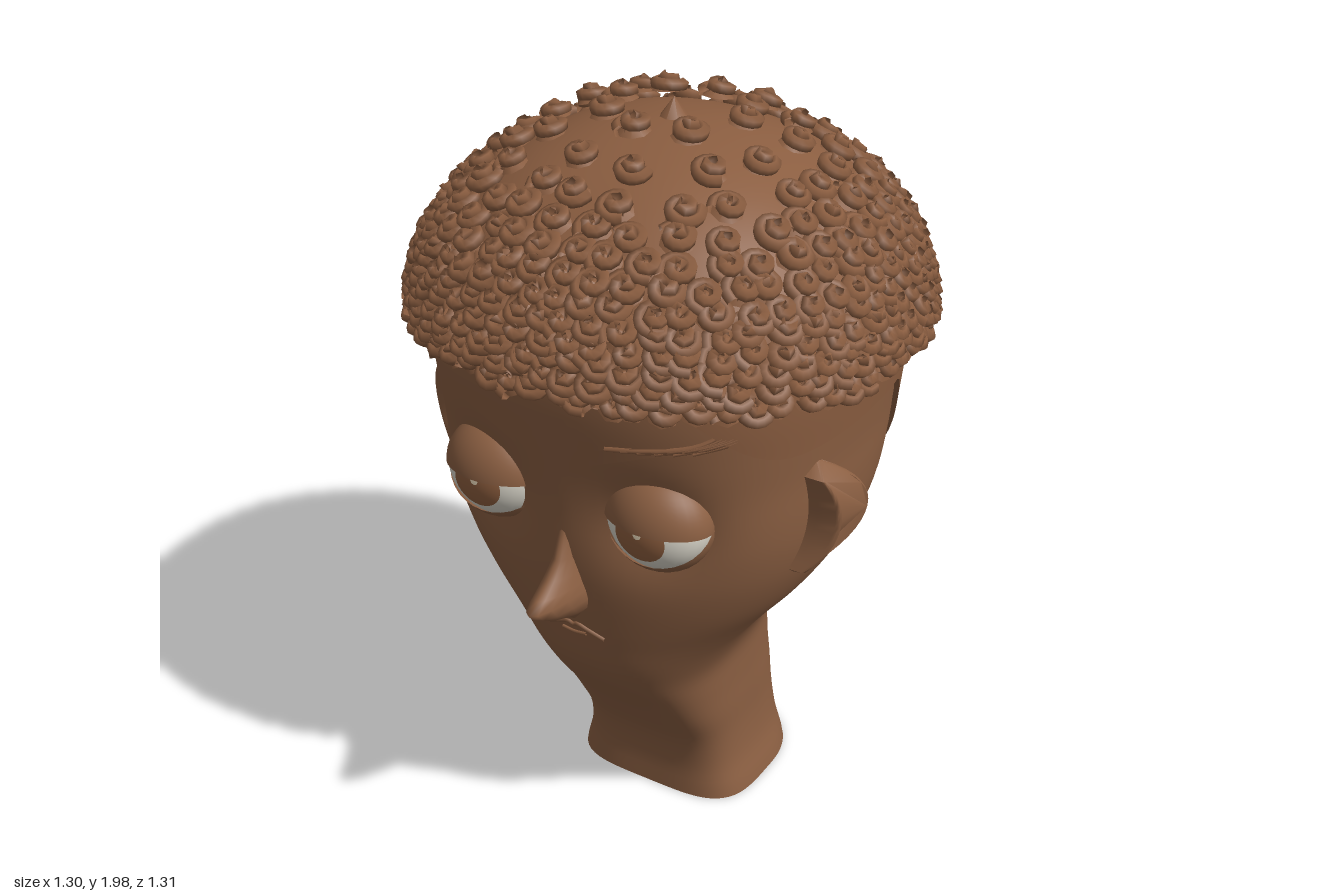
import * as THREE from 'three';
import { mergeGeometries, toCreasedNormals } from 'three/addons/utils/BufferGeometryUtils.js';

const mat = (name, color, side = THREE.FrontSide) => {
  const m = new THREE.MeshStandardMaterial({ color, side });
  m.name = name;
  return m;
};

// Head sections every 0.1 in height: half width, front z, back z
const SECTIONS = [
  [0.265, 0.135, -0.345], [0.24, 0.135, -0.33], [0.23, 0.16, -0.32], [0.23, 0.22, -0.315],
  [0.23, 0.29, -0.31], [0.238, 0.37, -0.315], [0.285, 0.43, -0.335], [0.358, 0.46, -0.36],
  [0.437, 0.48, -0.4], [0.49, 0.495, -0.45], [0.52, 0.505, -0.5], [0.533, 0.512, -0.53],
  [0.538, 0.52, -0.552], [0.547, 0.53, -0.565], [0.555, 0.54, -0.575], [0.56, 0.54, -0.58],
];
const EYE_X = 0.233, EYE_Y = 1.115;
const TAU = Math.PI * 2;
const { smoothstep, lerp, degToRad } = THREE.MathUtils;
const round = (a, p) => Math.pow(Math.abs(Math.cos(a)) ** p + Math.abs(Math.sin(a)) ** p, -1 / p);
// Squareness of the front half: boxy throat, softer jaw, fuller temples
const frontPower = (y) => lerp(4, 2.4, smoothstep(y, 0.15, 0.7)) + 0.35 * smoothstep(y, 0.75, 1.1);

// Smoothly interpolated section at height y
function section(y) {
  const n = SECTIONS.length - 1;
  const t = Math.min(Math.max(y * 10, 0), n), i = Math.min(Math.floor(t), n - 1), f = t - i;
  const at = (k) => SECTIONS[Math.min(Math.max(k, 0), n)];
  const [w, zf, zb] = [0, 1, 2].map((c) => {
    const [a, b, d, e] = [at(i - 1)[c], at(i)[c], at(i + 1)[c], at(i + 2)[c]];
    return b + 0.5 * f * (d - a + f * (2 * a - 5 * b + 4 * d - e + f * (3 * (b - d) + e - a)));
  });
  return { w, d: (zf - zb) / 2, zc: (zf + zb) / 2 };
}
const socket = (x, y) => 0.05 * Math.exp(-((Math.abs(x) - EYE_X) ** 2 + (y - 1.1) ** 2) / 0.016);

function headPoint(a, y, off = 0) {
  const s = section(y);
  const r = round(a, Math.sin(a) > 0 ? frontPower(y) : 2.3);
  const x = (s.w + off) * Math.cos(a) * r;
  let z = s.zc + (s.d + off) * Math.sin(a) * r;
  if (z > 0.2) z -= socket(x, y);
  return [x, y, z];
}
function faceZ(x, y) {
  const s = section(y), p = frontPower(y);
  return s.zc + s.d * Math.pow(Math.max(0, 1 - Math.abs(x / s.w) ** p), 1 / p) - socket(x, y);
}

// Closed loops of points, stacked upward into a surface
function loft(rows, cols, fn) {
  const pos = [], idx = [];
  for (let i = 0; i < rows; i++)
    for (let j = 0; j < cols; j++) pos.push(...fn(i, (j / cols) * TAU));
  for (let i = 0; i < rows - 1; i++)
    for (let j = 0; j < cols; j++) {
      const k = (j + 1) % cols, a = i * cols, b = a + cols;
      idx.push(a + j, b + j, a + k, b + j, b + k, a + k);
    }
  return surface(pos, idx);
}
function surface(pos, idx) {
  const g = new THREE.BufferGeometry();
  g.setAttribute('position', new THREE.Float32BufferAttribute(pos, 3));
  g.setIndex(idx);
  g.computeVertexNormals();
  return g;
}

// Scalp dome under the curls, theta measured from the crown
function domePoint(a, theta, grow = 0) {
  const r = round(a, Math.sin(a) > 0 ? 2.35 : 2.2) * Math.sin(theta);
  const x = (0.6 + grow) * Math.cos(a) * r, z = -0.015 + (0.59 + grow) * Math.sin(a) * r;
  return new THREE.Vector3(x, 1.455 + 0.03 * z + (0.468 + grow) * Math.cos(theta), z);
}

export function createModel() {
  const root = new THREE.Group();
  const skin = mat('brown skin', 0x8b5f42, THREE.DoubleSide);
  const hair = mat('brown hair', 0x8a5d40, THREE.DoubleSide);
  const white = mat('eye white', 0xd8d4c8);
  const brown = mat('iris brown', 0x8f5f3f);
  const glint = mat('eye glint', 0xf0dfc0);
  const add = (name, geo, m, parent = root) => {
    const mesh = new THREE.Mesh(geo, m);
    mesh.name = name;
    parent.add(mesh);
  };

  // Head and neck, with a flat base
  add('headAndNeck', loft(61, 96, (i, a) => headPoint(a, i * 0.025)), skin);
  add('neckBase', loft(2, 96, (i, a) => (i ? headPoint(a, 0) : [0, 0, -0.105])), skin);

  // Slightly raised short hair around the sides and back
  const fadeEdge = (a) => {
    const [x, , z] = headPoint(a, 1.25);
    if (z > 0.25) return lerp(1.46, 1.3, smoothstep(Math.abs(x), 0.27, 0.51));
    return 1.3 - 0.345 * smoothstep(-z, 0.15, 0.43);
  };
  add('shortHair', loft(16, 120, (i, a) => {
    const e = fadeEdge(a);
    return headPoint(a, lerp(e, 1.49, Math.max(0, i - 2) / 13), i === 0 ? -0.004 : 0.013);
  }), hair);

  // Hair dome
  add('hairDome', loft(22, 80, (i, a) => {
    if (i === 0) { const p = domePoint(a, Math.PI / 2); return [p.x * 0.7, p.y, p.z * 0.7]; }
    return domePoint(a, Math.PI / 2 * (1 - (i - 1) / 20)).toArray();
  }), hair);
  add('crownTuft', new THREE.ConeGeometry(0.045, 0.06, 8).translate(0, 1.94, -0.01), hair);

  // Spiral curls in rings over the dome
  const spiral = new THREE.CatmullRomCurve3(Array.from({ length: 15 }, (_, i) => {
    const t = i / 14, r = 0.036 * (1 - t) + 0.003;
    return new THREE.Vector3(Math.cos(t * 11) * r, 0.024 * t, Math.sin(t * 11) * r);
  }));
  const curl = mergeGeometries([
    new THREE.TubeGeometry(spiral, 17, 0.0155, 5),
    new THREE.ConeGeometry(0.04, 0.03, 8, 1, true).translate(0, 0.003, 0),
  ]);
  let seed = 7;
  const rand = () => (seed = (seed * 16807) % 2147483647) / 2147483647;
  const rings = [[15, 8], [28, 12], [38, 19], [46, 28], [53, 38], [59, 44], [65, 50],
    [70, 54], [75, 57], [80, 60], [84.5, 62], [89, 62]];
  const up = new THREE.Vector3(0, 1, 0), curls = [];
  rings.forEach(([deg, count], row) => {
    for (let j = 0; j < count; j++) {
      const a = ((j + (row % 2) / 2 + (rand() - 0.5) * 0.4) / count) * TAU;
      const p = domePoint(a, degToRad(deg + (rand() - 0.5) * 2), [0.034, 0.027][row] ?? 0.012);
      const axis = p.clone().sub(new THREE.Vector3(0, 1.42, 0)).normalize();
      axis.y += 0.8;
      axis.normalize();
      const q = new THREE.Quaternion().setFromUnitVectors(up, axis)
        .multiply(new THREE.Quaternion().setFromAxisAngle(up, rand() * TAU));
      const s = 0.95 + rand() * 0.12;
      curls.push(curl.clone().applyMatrix4(new THREE.Matrix4().compose(p, q, new THREE.Vector3(s, s, s))));
    }
  });
  add('curls', mergeGeometries(curls), hair);

  // Nose: half width and front z at each height, from below upward
  const nose = [[0.765, 0.012, 0.475], [0.79, 0.03, 0.51], [0.82, 0.054, 0.575], [0.85, 0.06, 0.63],
    [0.877, 0.056, 0.655], [0.9, 0.05, 0.62], [0.93, 0.044, 0.575], [0.97, 0.034, 0.535],
    [1.03, 0.026, 0.512], [1.09, 0.02, 0.49]];
  add('nose', loft(nose.length, 20, (i, a) => {
    const [y, w, z] = nose[i], s = Math.sin(a);
    return [w * Math.cos(a), y, 0.46 + (z - 0.46) * (s > 0 ? s ** 1.4 : s * 0.2)];
  }), skin);

  // Thin line following the face
  const faceLine = (name, pts, r, m, lift = 0.002) => add(name, new THREE.TubeGeometry(
    new THREE.CatmullRomCurve3(pts.map(([x, y]) => new THREE.Vector3(x, y, faceZ(x, y) + lift))), 16, r, 5), m);
  faceLine('upperLip', [[-0.085, 0.722], [-0.04, 0.742], [-0.012, 0.752], [0, 0.746], [0.012, 0.752], [0.04, 0.742], [0.085, 0.722]], 0.006, skin);
  faceLine('lowerLip', [[-0.035, 0.724], [0, 0.72], [0.035, 0.724]], 0.005, skin);

  // Loose strands fanning over the left brow
  for (let i = 0; i < 6; i++) {
    const k = i / 5;
    faceLine('looseStrand', [[0.15 + 0.2 * k, 1.33 + 0.02 * k], [0.26 + 0.16 * k, 1.348 + 0.025 * k],
      [0.37 + 0.1 * k, 1.375 + 0.025 * k], [0.46 + 0.06 * k, 1.45]], 0.006, hair, 0.012);
  }

  for (const s of [1, -1]) {
    const side = s > 0 ? 'left' : 'right';

    // Eye: ball, iris and two lids
    const eye = new THREE.Group();
    eye.name = side + 'Eye';
    eye.position.set(s * EYE_X, EYE_Y, 0.435);
    eye.scale.set(0.134, 0.126, 0.102);
    root.add(eye);
    add('eyeball', new THREE.SphereGeometry(1, 32, 20), white, eye);
    add('iris', new THREE.SphereGeometry(1.012, 28, 6, 0, TAU, 0, 0.52).rotateX(Math.PI / 2 + 0.06), brown, eye);
    add('glint', new THREE.SphereGeometry(1.02, 8, 2, 0, TAU, 0, 0.08).rotateX(Math.PI / 2 - 0.05), glint, eye);
    add('upperLid', new THREE.SphereGeometry(1.05, 32, 14, 0, TAU, 0, Math.PI / 2).rotateX(-0.08), skin, eye);
    add('lowerLid', new THREE.SphereGeometry(1.05, 32, 14, 0, TAU, Math.PI / 2, Math.PI / 2).rotateX(0.74), skin, eye);

    // Eyebrow plate
    const edge = (pts) => new THREE.CatmullRomCurve3(pts.map(([x, y]) => new THREE.Vector3(x, y, 0))).getPoints(12);
    const top = edge([[0.37, 1.355], [0.28, 1.362], [0.19, 1.338], [0.11, 1.312]]);
    const low = edge([[0.36, 1.345], [0.28, 1.335], [0.19, 1.303], [0.102, 1.267]]);
    const pos = [], idx = [];
    top.forEach((t, i) => [t, low[i]].forEach(({ x, y }) => pos.push(s * x, y, faceZ(x, y) + 0.012)));
    for (let i = 0; i < 24; i += 2) {
      idx.push(...(s > 0 ? [i, i + 2, i + 1, i + 1, i + 2, i + 3] : [i, i + 1, i + 2, i + 1, i + 3, i + 2]));
    }
    add(side + 'Eyebrow', surface(pos, idx), skin);

    // Ear: crescent flap tapering into the head at both ends
    const shape = new THREE.Shape();
    const u = (z) => -s * z;
    shape.moveTo(u(0.2), 1.24);
    shape.quadraticCurveTo(u(-0.02), 1.09, u(0.2), 0.92);
    shape.lineTo(u(0.235), 0.95);
    shape.quadraticCurveTo(u(0.185), 1.085, u(0.235), 1.215);
    const ear = new THREE.ExtrudeGeometry(shape, {
      depth: 0.1, steps: 2, curveSegments: 16, bevelThickness: 0.012, bevelSize: 0.008, bevelSegments: 3,
    }).rotateY((s * Math.PI) / 2);
    const v = ear.attributes.position;
    for (let i = 0; i < v.count; i++) {
      const t = (v.getY(i) - 1.08) / 0.17;
      const out = Math.abs(v.getX(i)) + (0.2 - v.getZ(i)) * 0.08;
      v.setX(i, s * (0.483 + 0.03 * t - 0.012 * t * t + out * Math.sqrt(Math.max(0.02, 1 - t * t))));
    }
    add(side + 'Ear', toCreasedNormals(ear, 0.8), skin);
  }
  return root;
}
